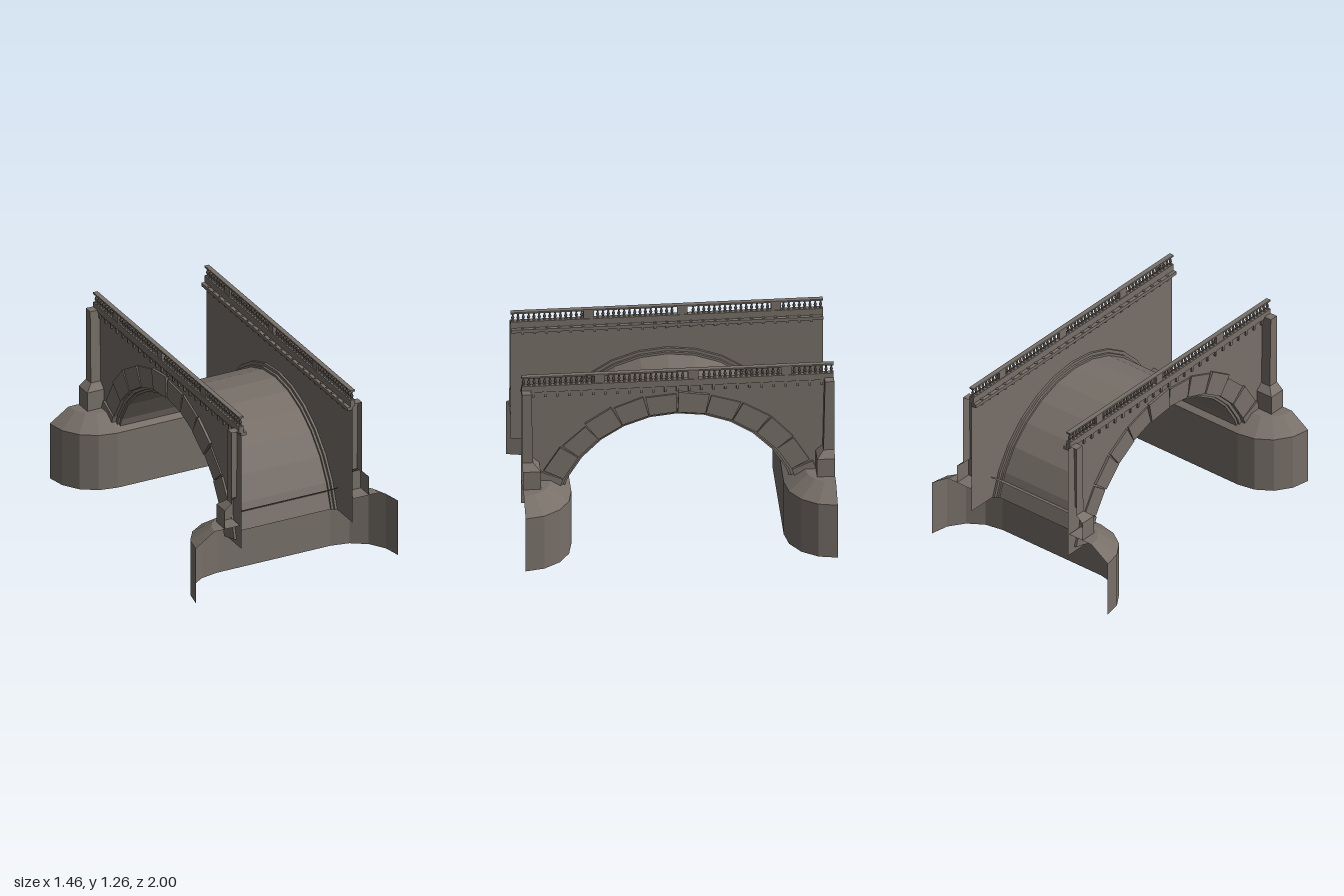
import * as THREE from 'three';
import { mergeGeometries } from 'three/addons/utils/BufferGeometryUtils.js';

const stone = new THREE.MeshStandardMaterial({ color: 0x776f68, side: THREE.DoubleSide, flatShading: true });
stone.name = 'grey brown stone';

// arch: centre height, half sweep, facets, radius where the wall begins
const CY = 0.136, HALF = THREE.MathUtils.degToRad(77.5), SEG = 12, R_WALL = 0.81;
const onArch = (r, a) => new THREE.Vector2(r * Math.sin(a), CY + r * Math.cos(a));

function add(parent, name, geometry) {
  const mesh = new THREE.Mesh(geometry, stone);
  mesh.name = name;
  parent.add(mesh);
}

// box given by its limits on each axis
function block(x0, x1, y0, y1, z0, z1) {
  return new THREE.BoxGeometry(Math.abs(x1 - x0), y1 - y0, z1 - z0)
    .translate((x0 + x1) / 2, (y0 + y1) / 2, (z0 + z1) / 2);
}

// open surface through rows of [x, y, z] points
function sheet(rows) {
  const pos = [];
  for (let i = 0; i + 1 < rows.length; i++) {
    for (let j = 0; j + 1 < rows[i].length; j++) {
      const a = rows[i][j], b = rows[i][j + 1], c = rows[i + 1][j + 1], d = rows[i + 1][j];
      pos.push(...a, ...b, ...c, ...a, ...c, ...d);
    }
  }
  const g = new THREE.BufferGeometry();
  g.setAttribute('position', new THREE.Float32BufferAttribute(pos, 3));
  g.computeVertexNormals();
  return g;
}

// quarter round of a pier end, from the outer end to the straight face
function roundedEnd(sx, sz, r, y) {
  return [0, 1, 2, 3, 4].map(i => {
    const a = i * Math.PI / 8;
    return [sx * (0.41 + r * Math.cos(a)), y, sz * (1 - r * Math.sin(a))];
  });
}

// half pier: upright wall, sloping shoulder, flat tops outside the walls
function pier(sz) {
  const g = new THREE.Group();
  g.name = 'pier';
  const row = (r, y) => [...roundedEnd(-1, sz, r, y), ...roundedEnd(1, sz, r, y).reverse()];
  add(g, 'pierShell', sheet([row(0.32, 0), row(0.32, 0.39), row(0.185, 0.48)]));
  for (const sx of [-1, 1]) {
    add(g, 'pierTop', sheet([roundedEnd(sx, sz, 0.185, 0.48), roundedEnd(sx, sz, 0, 0.48)]));
  }
  return g;
}

// half pillar standing against the wall, open at the bridge end
function pillar(sx, sz) {
  const row = (x, z, y) => [[sx * 0.4, y, sz * z], [sx * x, y, sz * z], [sx * x, y, sz]];
  return sheet([
    row(0.52, 0.885, 0.48), row(0.52, 0.885, 0.61), row(0.47, 0.93, 0.65),
    row(0.47, 0.94, 1.155), row(0.4, 1, 1.155),
  ]);
}

// arch barrel with stepped edges
function vault() {
  const half = [[0.774, 0.37], [0.789, 0.37], [0.789, 0.385], [R_WALL, 0.385], [R_WALL, 0.4]];
  const profile = [...half.map(([r, x]) => [r, -x]).reverse(), ...half];
  const rows = [];
  for (let i = 0; i <= SEG; i++) {
    rows.push(profile.map(([r, x]) => {
      const p = onArch(r, -HALF + 2 * HALF * i / SEG);
      return [x, p.y, p.x];
    }));
  }
  return sheet(rows);
}

// wall sheet with the arch cut from its lower edge
function wall(sx) {
  const foot = onArch(R_WALL, HALF).y;
  const pts = [new THREE.Vector2(-1, foot)];
  for (let i = 0; i <= SEG; i++) pts.push(onArch(R_WALL, -HALF + 2 * HALF * i / SEG));
  pts.push(new THREE.Vector2(1, foot), new THREE.Vector2(1, 1.155), new THREE.Vector2(-1, 1.155));
  return new THREE.ShapeGeometry(new THREE.Shape(pts)).rotateY(Math.PI / 2).translate(sx * 0.4, 0, 0);
}

// ring of slightly uneven wedge stones round the arch
function archStones(sx) {
  const parts = [];
  const step = 2 * HALF / SEG;
  for (let i = 0; i < SEG; i++) {
    const a = -HALF + i * step, b = a + step;
    const wobble = Math.sin(i * 2.3 + 0.6);
    const outer = 0.95 + 0.008 * wobble, gap = 0.008;
    const depth = 0.013 + 0.004 * wobble;
    const shape = new THREE.Shape([
      onArch(R_WALL, a + 0.002), onArch(outer, a + gap),
      onArch(outer + 0.008 * Math.cos(i * 1.7), b - gap), onArch(R_WALL, b - 0.002),
    ]);
    parts.push(new THREE.ExtrudeGeometry(shape, { depth, bevelEnabled: false })
      .rotateY(Math.PI / 2).translate(sx > 0 ? 0.4 : -0.4 - depth, 0, 0));
  }
  return mergeGeometries(parts);
}

// plinth, balusters, pedestals and handrail
function balustrade(sx) {
  const g = new THREE.Group();
  g.name = 'balustrade';
  const x = sx * 0.402;
  const pedestals = [0.5, -0.1, -0.7];
  add(g, 'plinth', block(x - 0.016, x + 0.016, 1.14, 1.187, -1, 1));
  add(g, 'handrail', block(x - 0.016, x + 0.016, 1.245, 1.256, -1, 1));
  for (const z of pedestals) add(g, 'pedestal', block(x - 0.012, x + 0.012, 1.187, 1.245, z - 0.033, z + 0.033));
  const profile = [[0.01, 0], [0.01, 0.006], [0.005, 0.009], [0.011, 0.024], [0.0045, 0.042], [0.009, 0.053], [0.009, 0.059]]
    .map(p => new THREE.Vector2(...p));
  const parts = [];
  for (let i = 0; i < 59; i++) {
    const z = 0.986 - i * 0.034;
    if (pedestals.some(p => Math.abs(p - z) < 0.042)) continue;
    parts.push(new THREE.LatheGeometry(profile, 6).translate(x, 1.187, z));
  }
  add(g, 'balusters', mergeGeometries(parts));
  return g;
}

// everything along one edge of the bridge
function bridgeSide(sx) {
  const g = new THREE.Group();
  g.name = sx > 0 ? 'leftSide' : 'rightSide';
  add(g, 'wall', wall(sx));
  add(g, 'archStones', archStones(sx));
  add(g, 'cornice', block(sx * 0.363, sx * 0.405, 1.117, 1.14, -1, 1));
  const dentils = [];
  for (let i = -12; i <= 12; i++) {
    dentils.push(block(sx * 0.371, sx * 0.413, 1.1, 1.145, i * 0.077 - 0.008, i * 0.077 + 0.008));
  }
  add(g, 'dentils', mergeGeometries(dentils));
  g.add(balustrade(sx));
  for (const sz of [-1, 1]) add(g, 'pillar', pillar(sx, sz));
  return g;
}

export function createModel() {
  const model = new THREE.Group();
  model.name = 'archBridge';
  for (const sz of [-1, 1]) model.add(pier(sz));
  add(model, 'vault', vault());
  for (const sx of [-1, 1]) model.add(bridgeSide(sx));
  return model;
}
